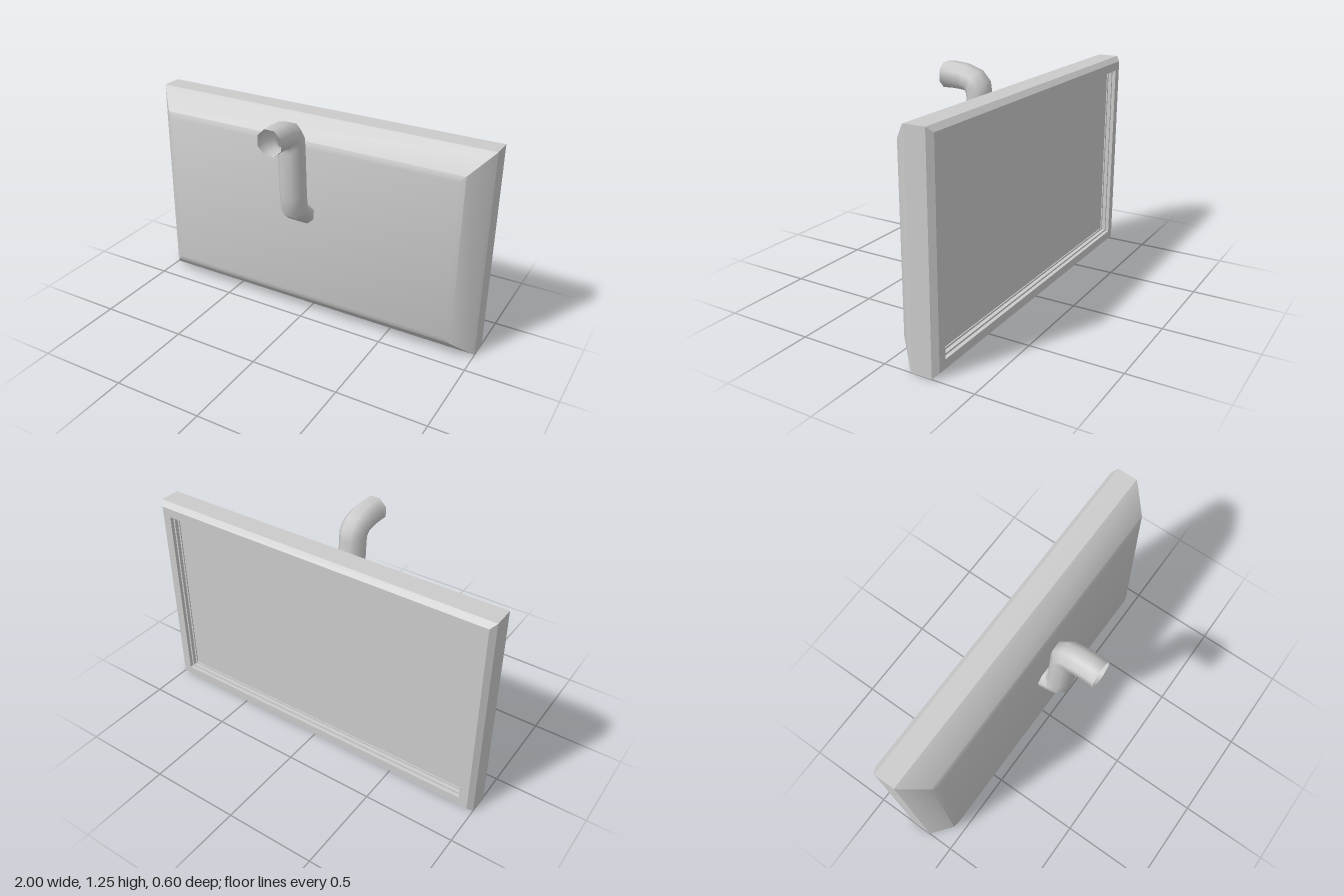
import * as THREE from 'three';
import { toCreasedNormals } from 'three/addons/utils/BufferGeometryUtils.js';

const HALF_W = 1, HALF_H = 0.5925;

// Skin closed cross-sections (counterclockwise from +z, running towards -z).
function skin(loops, capped) {
  const n = loops[0].length, index = [];
  for (let i = 0; i < loops.length - 1; i++) {
    for (let j = 0; j < n; j++) {
      const a = i * n + j, b = i * n + (j + 1) % n;
      index.push(a, a + n, b, b, a + n, b + n);
    }
  }
  if (capped) {
    const last = (loops.length - 1) * n;
    for (let j = 1; j < n - 1; j++) {
      index.push(0, j, j + 1, last, last + j + 1, last + j);
    }
  }
  const geometry = new THREE.BufferGeometry();
  geometry.setAttribute('position', new THREE.Float32BufferAttribute(loops.flat(2), 3));
  geometry.setIndex(index);
  geometry.computeVertexNormals();
  return geometry;
}

function rectangle([inset, z]) {
  const x = HALF_W - inset, h = HALF_H - inset;
  return [[-1, -1], [1, -1], [1, 1], [-1, 1]].map(([sx, sy]) => [sx * x, HALF_H + sy * h, z]);
}

// Octagonal ring between an outer and an inner bend point, each [z, y].
function octagon([outer, inner]) {
  const ring = [], k = 1 / Math.cos(Math.PI / 8);
  for (let j = 0; j < 8; j++) {
    const t = (j + 0.5) * Math.PI / 4, c = k * Math.cos(t) / 2;
    ring.push([
      -0.068 * k * Math.sin(t),
      (outer[1] + inner[1]) / 2 + (outer[1] - inner[1]) * c,
      (outer[0] + inner[0]) / 2 + (outer[0] - inner[0]) * c,
    ]);
  }
  return ring;
}

export function createModel() {
  const model = new THREE.Group();
  model.name = 'wallScreen';

  // Housing with chamfered rim and stepped recess: [inset, z]
  const housingProfile = [
    [0.14, -0.027], [0.107, -0.039], [0.012, -0.139], [0, -0.155],
    [0, -0.27], [0.026, -0.296],
    [0.075, -0.296], [0.075, -0.276], [0.085, -0.276], [0.085, -0.256], [0.095, -0.256], [0.095, -0.25],
  ];
  const housing = new THREE.Mesh(
    toCreasedNormals(skin(housingProfile.map(rectangle), true), THREE.MathUtils.degToRad(35)),
    new THREE.MeshStandardMaterial({ color: 0xcccccc }),
  );
  housing.name = 'screenHousing';
  model.add(housing);

  // Hollow bent mounting pipe: outer and inner bend points as [z, y]
  const pipeBends = [
    [[0.30, 1.252], [0.30, 1.116]],
    [[0.25, 1.255], [0.25, 1.119]],
    [[0.17, 1.248], [0.20, 1.117]],
    [[0.085, 1.22], [0.166, 1.113]],
    [[0.036, 1.165], [0.16, 1.105]],
    [[0.028, 1.11], [0.156, 1.08]],
    [[0.017, 0.95], [0.148, 0.93]],
    [[0.010, 0.82], [0.140, 0.82]],
    [[0, 0.745], [0.125, 0.71]],
    [[-0.01, 0.735], [0.08, 0.67]],
    [[-0.035, 0.727], [-0.035, 0.597]],
  ];
  const pipe = new THREE.Mesh(
    skin(pipeBends.map(octagon), false),
    new THREE.MeshStandardMaterial({ color: 0xcccccc, side: THREE.DoubleSide }),
  );
  pipe.name = 'mountingPipe';
  model.add(pipe);

  return model;
}
